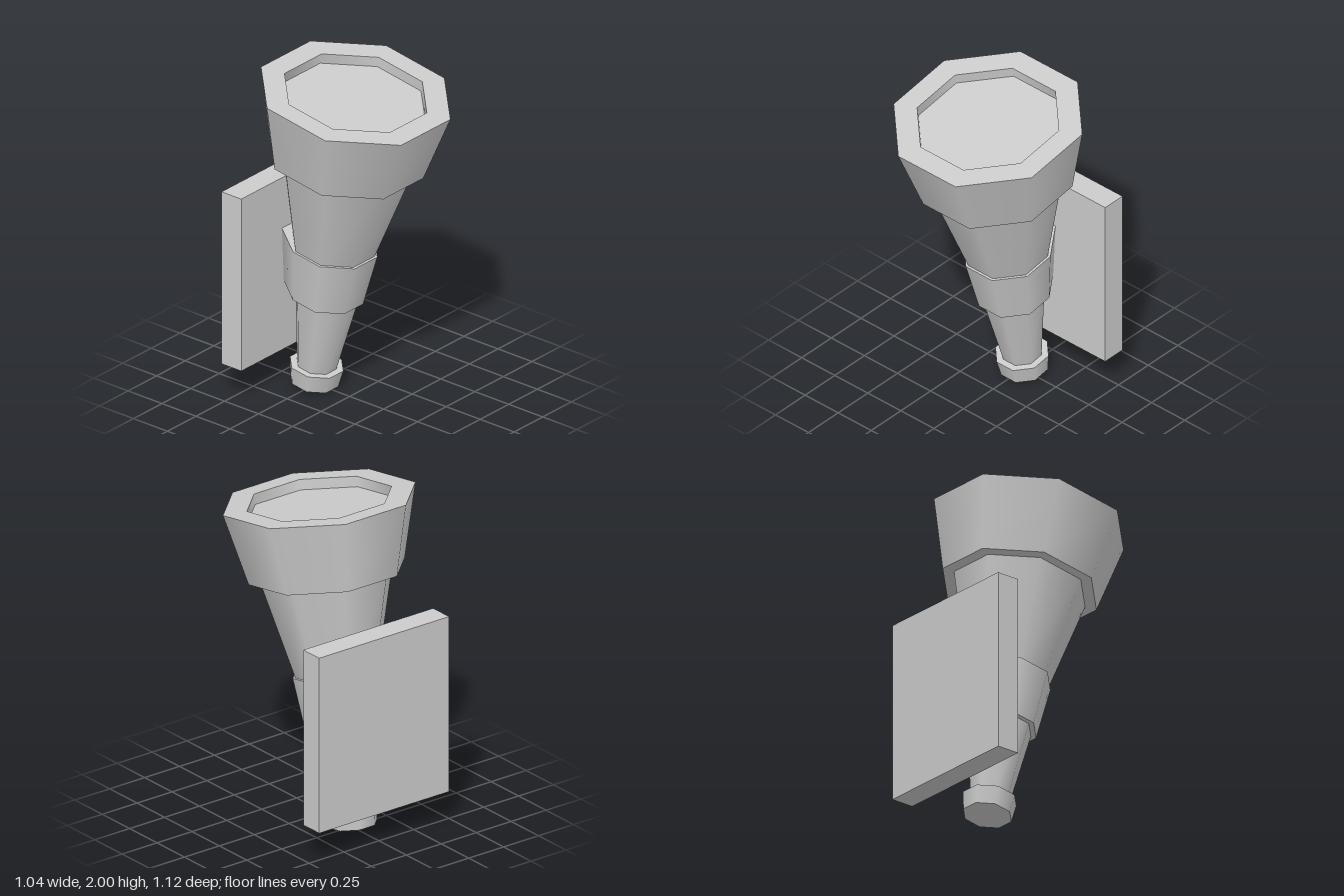
import * as THREE from 'three';

const TILT = 0.159;                       // lean away from the wall
const BASE = new THREE.Vector3(0, 0.022, -0.26);
const WALL_Z = -0.415;                    // front face of the wall plate
const K = 1 / Math.cos(Math.PI / 8);      // flat-to-flat half width -> corner radius

const material = new THREE.MeshStandardMaterial({ color: 0xcccccc });
const openMaterial = new THREE.MeshStandardMaterial({ color: 0xcccccc, side: THREE.DoubleSide });

function add(parent, name, geometry, mat = material) {
  const mesh = new THREE.Mesh(geometry, mat);
  mesh.name = name;
  parent.add(mesh);
  return mesh;
}

// Eight-sided tapered band from height y0 to y1 with half widths a0 and a1
function band(y0, a0, y1, a1, open = false) {
  return new THREE.CylinderGeometry(a1 * K, a0 * K, y1 - y0, 8, 1, open, Math.PI / 8)
    .translate(0, (y0 + y1) / 2, 0);
}

export function createModel() {
  const model = new THREE.Group();
  model.name = 'wallTorch';

  // Wall plate
  add(model, 'wallPlate', new THREE.BoxGeometry(0.93, 1.08, 0.145)
    .translate(0.01, 0.74, WALL_Z - 0.0725));

  // Leaning torch
  const torch = new THREE.Group();
  torch.name = 'torch';
  torch.position.copy(BASE);
  torch.rotation.x = TILT;
  model.add(torch);

  add(torch, 'endCap', band(0, 0.132, 0.109, 0.147));
  add(torch, 'lowerShaft', band(0.1, 0.107, 0.9, 0.215));
  add(torch, 'upperShaft', band(0.89, 0.222, 1.5, 0.362));

  // Holder ring, its rear side drawn back to the wall plate
  const holder = band(0.575, 0.2, 0.905, 0.24);
  const p = holder.attributes.position;
  for (let i = 0; i < p.count; i++) {
    if (p.getZ(i) < -0.15) {
      p.setZ(i, (WALL_Z - BASE.z - p.getY(i) * Math.sin(TILT)) / Math.cos(TILT));
    }
  }
  add(torch, 'holderRing', holder);

  // Head with a shallow recess in its top
  const head = new THREE.Group();
  head.name = 'head';
  torch.add(head);
  const y0 = 1.494, y1 = 1.922, floorY = 1.86, outer = 0.522, inner = 0.392;
  add(head, 'headSides', band(y0, 0.423, y1, outer, true), openMaterial);
  add(head, 'headUnderside', new THREE.RingGeometry(0.35 * K, 0.423 * K, 8, 1, Math.PI / 8)
    .rotateX(Math.PI / 2).translate(0, y0, 0), openMaterial);
  add(head, 'headRim', new THREE.RingGeometry(inner * K, outer * K, 8, 1, Math.PI / 8)
    .rotateX(-Math.PI / 2).translate(0, y1, 0));
  add(head, 'recessWall', band(floorY, inner, y1, inner, true), openMaterial);
  add(head, 'recessFloor', new THREE.CircleGeometry(inner * K, 8, Math.PI / 8)
    .rotateX(-Math.PI / 2).translate(0, floorY, 0));

  return model;
}
